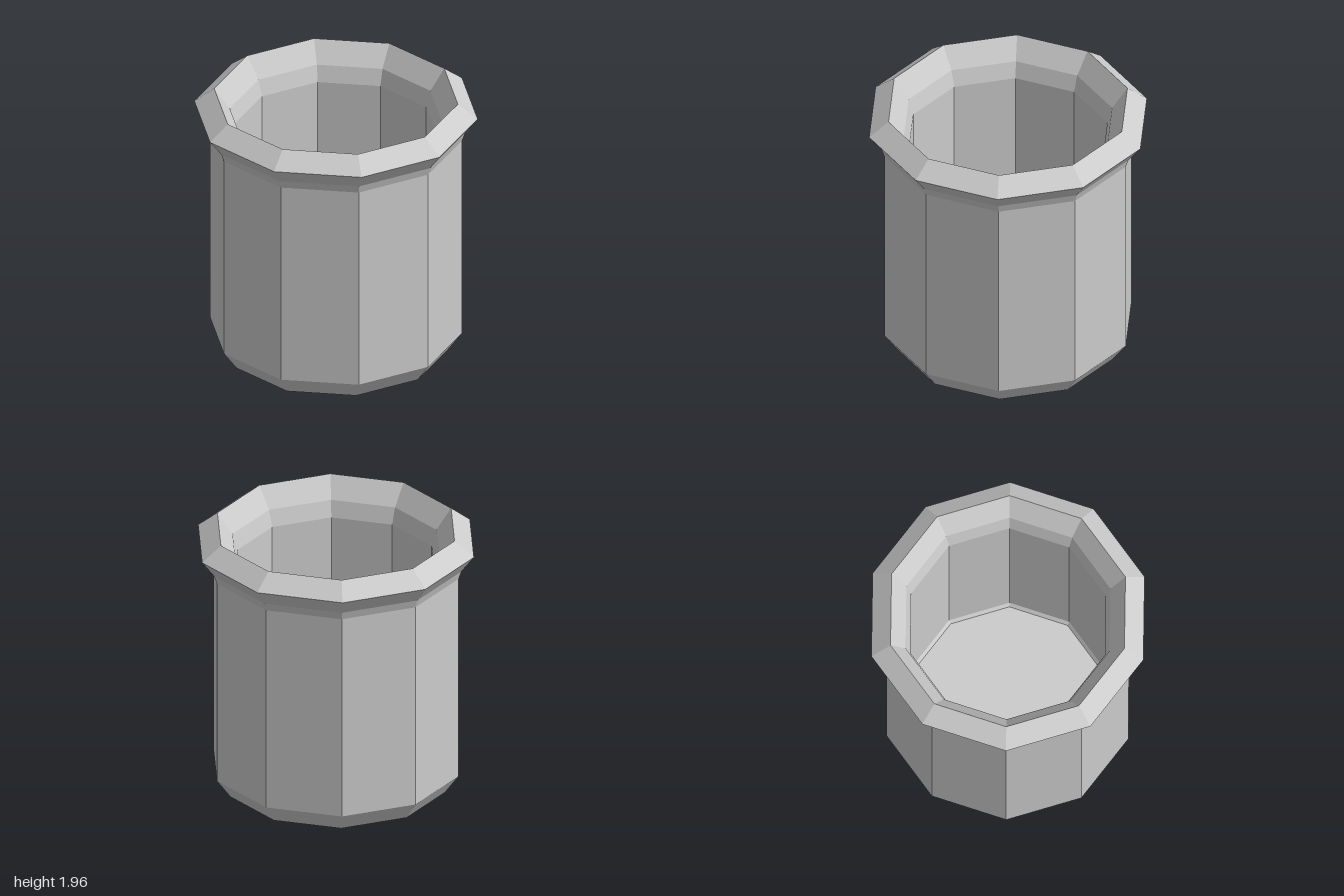
import * as THREE from 'three';

const SIDES = 10;

export function createModel() {
  const model = new THREE.Group();
  model.name = 'pot';
  const material = new THREE.MeshStandardMaterial({ color: 0xcccccc, flatShading: true });

  // Turns a profile of [radius, height] points into a ten-sided part, one corner facing the front
  const addRing = (name, profile) => {
    const points = profile.map(([r, y]) => new THREE.Vector2(r, y));
    const mesh = new THREE.Mesh(new THREE.LatheGeometry(points, SIDES), material);
    mesh.name = name;
    model.add(mesh);
  };

  // Closed base, chamfered foot and straight outer wall
  addRing('outerWall', [[0, 0], [0.79, 0], [0.89, 0.14], [0.89, 1.67]]);

  // Flared rim, over the lip and down into the mouth
  addRing('rim', [
    [0.89, 1.67], [0.91, 1.73], [1, 1.85], [0.86, 1.96], [0.75, 1.81], [0.715, 1.69],
  ]);

  // Inner wall with a small chamfer where it meets the floor
  addRing('innerWall', [[0.715, 1.69], [0.715, 0.17], [0.695, 0.14]]);
  addRing('floor', [[0.695, 0.14], [0, 0.14]]);

  return model;
}
